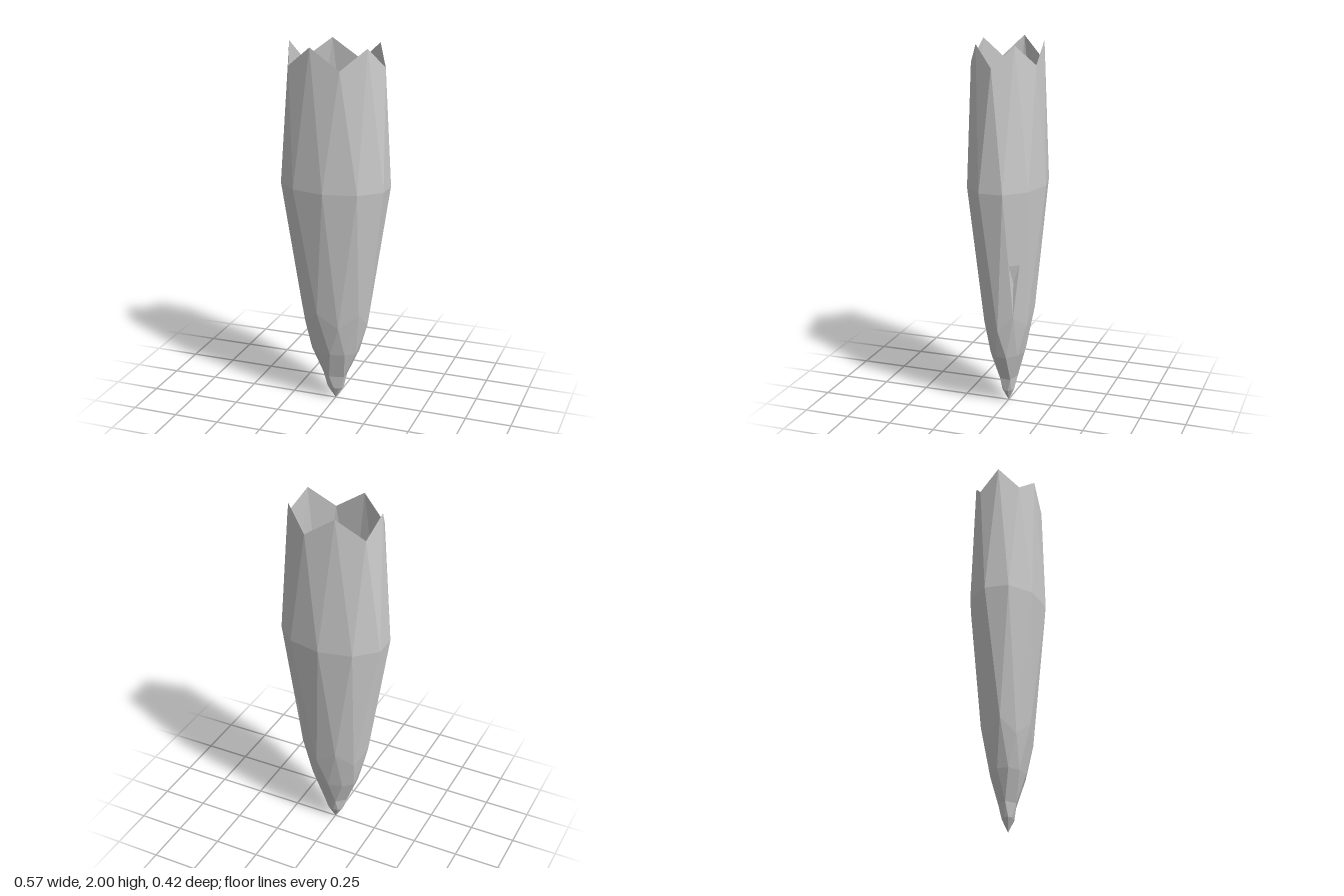
import * as THREE from 'three';

const N = 10;
const DEPTH = 0.69; // z radius relative to x radius

// One elliptical ring; odd corners may have their own radius and height.
function ring(shift, evenR, evenY, oddR = evenR, oddY = evenY) {
  const points = Array.from({ length: N }, (_, k) => {
    const a = ((k + shift) / N) * Math.PI * 2;
    const r = k % 2 ? oddR : evenR;
    return new THREE.Vector3(r * Math.cos(a), k % 2 ? oddY : evenY, r * DEPTH * Math.sin(a));
  });
  return { shift, at: (k) => points[(k + N) % N] };
}

function shellGeometry() {
  const rings = [
    ring(0, 0.27, 1.89, 0.256, 2.0),     // jagged rim
    ring(0.5, 0.302, 1.25),              // widest belt
    ring(0, 0.185, 0.47, 0.2, 0.55),     // lower zigzag
    ring(0.5, 0.136, 0.3),               // taper
    ring(0, 0.058, 0.145, 0.072, 0.145), // five-sided neck
    ring(0.5, 0.047, 0.07),              // above the point
  ];
  const corners = [];
  const tri = (...p) => p.forEach((v) => corners.push(v.x, v.y, v.z));

  // Facet with a small chip pressed in at its lower corner
  function chippedFacet(low, right, left) {
    const p = low.clone().lerp(right, 0.43);
    const q = low.clone().lerp(left, 0.43);
    const dent = low.clone().add(p).add(q).divideScalar(3);
    dent.x *= 0.92;
    dent.z *= 0.92;
    tri(p, right, left);
    tri(p, left, q);
    tri(low, p, dent);
    tri(p, q, dent);
    tri(q, low, dent);
  }

  // Bands of alternating triangles between neighbouring rings
  for (let i = 0; i < rings.length - 1; i++) {
    const up = rings[i], low = rings[i + 1];
    const s = up.shift ? 1 : 0;
    for (let k = 0; k < N; k++) {
      tri(up.at(k), low.at(k + s), low.at(k + s - 1));
      const facet = [low.at(k), up.at(k - s), up.at(k - s + 1)];
      if (i === 1 && k === 9) chippedFacet(...facet);
      else tri(...facet);
    }
  }

  // Closed point
  const last = rings[rings.length - 1];
  const tip = new THREE.Vector3(0, 0, 0);
  for (let k = 0; k < N; k++) tri(tip, last.at(k), last.at(k + 1));

  const geometry = new THREE.BufferGeometry();
  geometry.setAttribute('position', new THREE.Float32BufferAttribute(corners, 3));
  geometry.computeVertexNormals();
  return geometry;
}

export function createModel() {
  const group = new THREE.Group();
  group.name = 'facetedBud';
  const material = new THREE.MeshStandardMaterial({
    color: 0xcccccc, flatShading: true, side: THREE.DoubleSide,
  });
  const shell = new THREE.Mesh(shellGeometry(), material);
  shell.name = 'shell';
  group.add(shell);
  return group;
}
